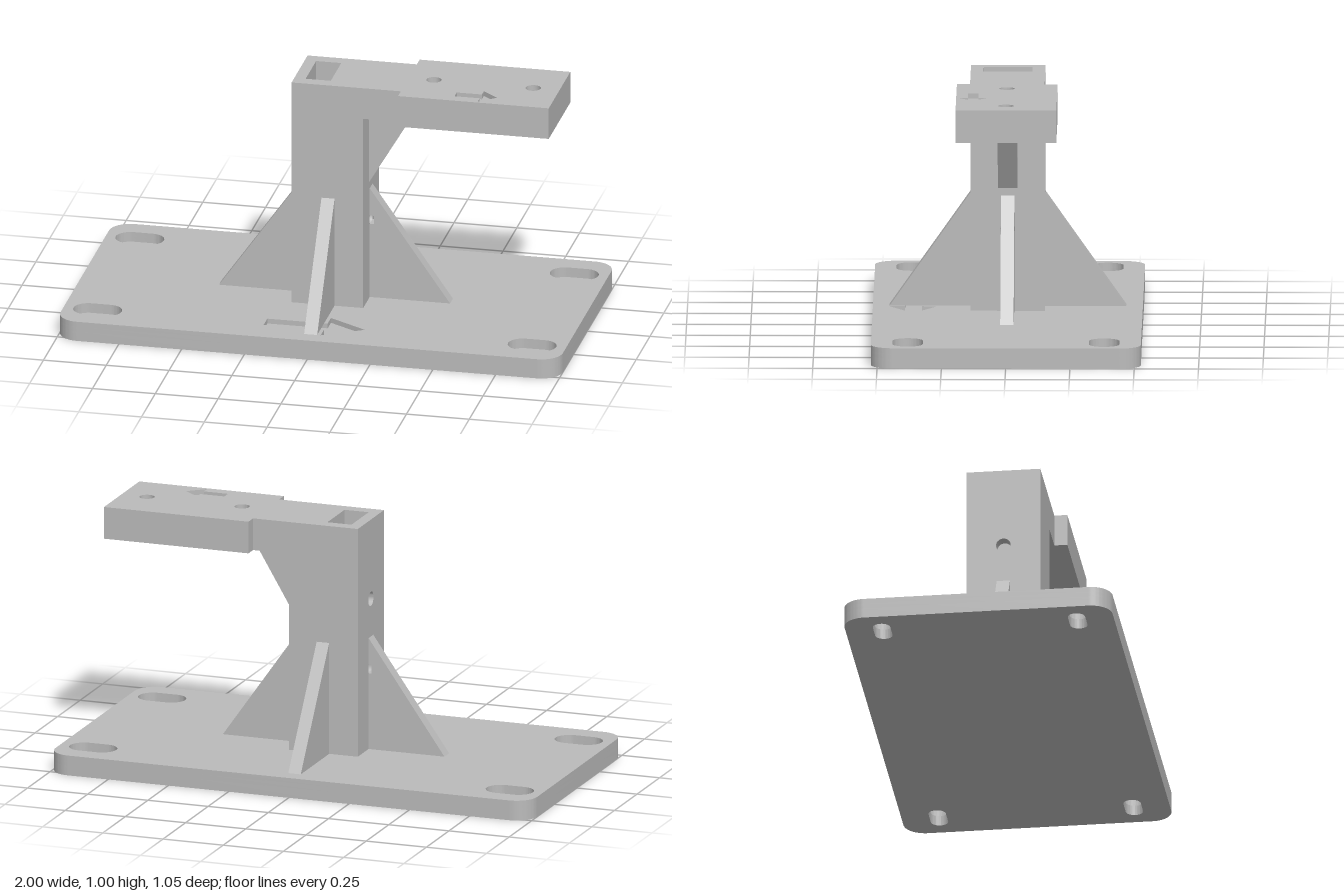
import * as THREE from 'three';
import { toCreasedNormals } from 'three/addons/utils/BufferGeometryUtils.js';

export function createModel() {
  const model = new THREE.Group();
  model.name = 'mountingBracket';
  const grey = new THREE.MeshStandardMaterial({ color: 0xbababa });
  grey.name = 'grey plastic';

  const add = (name, geometry, parent = model) => {
    const mesh = new THREE.Mesh(geometry, grey);
    mesh.name = name;
    parent.add(mesh);
    return mesh;
  };
  const box = (name, x0, x1, y0, y1, z0, z1, parent) =>
    add(name, new THREE.BoxGeometry(x1 - x0, y1 - y0, z1 - z0)
      .translate((x0 + x1) / 2, (y0 + y1) / 2, (z0 + z1) / 2), parent);
  const extrude = (shape, depth) => toCreasedNormals(
    new THREE.ExtrudeGeometry(shape, { depth, bevelEnabled: false, curveSegments: 10 }), 0.6);
  const polygon = (points) => new THREE.Shape(points.map(([x, y]) => new THREE.Vector2(x, y)));

  // Rounded rectangle given by its centre, half sizes and corner radius
  const rounded = (cx, cy, w, h, r) => {
    const s = new THREE.Shape();
    s.absarc(cx + w - r, cy + h - r, r, 0, Math.PI / 2);
    s.absarc(cx - w + r, cy + h - r, r, Math.PI / 2, Math.PI);
    s.absarc(cx - w + r, cy - h + r, r, Math.PI, Math.PI * 1.5);
    s.absarc(cx + w - r, cy - h + r, r, Math.PI * 1.5, Math.PI * 2);
    s.closePath();
    return s;
  };
  const circle = (x, y, r) => new THREE.Path().absarc(x, y, r, 0, Math.PI * 2);
  const hexagon = (x, y, r) => polygon(Array.from({ length: 6 }, (_, i) =>
    [x + r * Math.cos(i * Math.PI / 3), y + r * Math.sin(i * Math.PI / 3)]));
  // Arrow pointing to +x: tail, neck and tip along x, half widths of shaft and head
  const arrow = (tail, neck, tip, z, shaft, head) => polygon([
    [tail, z - shaft], [neck, z - shaft], [neck, z - head], [tip, z],
    [neck, z + head], [neck, z + shaft], [tail, z + shaft]]);

  // Horizontal slab between two heights, with an outline in x and z
  const slab = (name, outline, holes, y0, y1, parent) => {
    outline.holes.push(...holes);
    return add(name, extrude(outline, y1 - y0).rotateX(Math.PI / 2).translate(0, y1, 0), parent);
  };

  // Base plate: through slots, wider counterbores above, and a sunk arrow
  const base = new THREE.Group();
  base.name = 'basePlate';
  model.add(base);
  const plate = () => rounded(0, 0, 1, 0.525, 0.085);
  const slots = (w, h) => [-1, 1].flatMap((sx) =>
    [-1, 1].map((sz) => rounded(sx * 0.865, sz * 0.382, w, h, h - 0.0005)));
  slab('baseBottom', plate(), slots(0.07, 0.034), 0, 0.04, base);
  slab('baseMiddle', plate(), slots(0.096, 0.059), 0.04, 0.06, base);
  slab('baseTop', plate(),
    [...slots(0.096, 0.059), arrow(-0.2, 0.04, 0.195, 0.367, 0.033, 0.093)], 0.06, 0.08, base);

  // Hollow column: four walls around a shaft, with cross holes
  const column = new THREE.Group();
  column.name = 'column';
  model.add(column);
  box('columnFrontWall', -0.145, 0.14, 0.08, 1, 0.095, 0.145, column);
  box('columnBackWall', -0.145, 0.14, 0.08, 1, -0.145, -0.095, column);
  box('columnFloor', -0.1, 0, 0.08, 0.3, -0.095, 0.095, column);
  const sideWall = (name, x0, x1, holeHeights) => {
    const s = polygon([[-0.095, 0.08], [0.095, 0.08], [0.095, 1], [-0.095, 1]]);
    s.holes.push(...holeHeights.map((y) => circle(0, y, 0.029)));
    add(name, extrude(s, x1 - x0).rotateY(Math.PI / 2).translate(x0, 0, 0), column);
  };
  sideWall('columnRightWall', -0.145, -0.1, [0.403, 0.68]);
  sideWall('columnLeftWall', 0, 0.14, [0.403]);

  // Arm: neck and wide end, with nut pockets below, bolt holes and a sunk arrow
  const arm = new THREE.Group();
  arm.name = 'arm';
  model.add(arm);
  const armOutline = () => polygon([
    [0.14, -0.145], [0.29, -0.145], [0.29, -0.196], [0.89, -0.196],
    [0.89, 0.196], [0.29, 0.196], [0.29, 0.145], [0.14, 0.145]]);
  const boltX = [0.39, 0.785];
  const bolts = () => boltX.map((x) => circle(x, 0, 0.03));
  slab('armBottom', armOutline(), boltX.map((x) => hexagon(x, 0, 0.054)), 0.872, 0.92, arm);
  slab('armMiddle', armOutline(), bolts(), 0.92, 0.98, arm);
  slab('armTop', armOutline(),
    [...bolts(), arrow(0.505, 0.605, 0.67, 0.13, 0.02, 0.056)], 0.98, 1, arm);

  // Foot gussets on all four sides; those along x are notched at the cross hole
  ['left', 'back', 'right', 'front'].forEach((side, i) => {
    const notch = i % 2 ? [] : [[0.14, 0.421], [0.157, 0.421], [0.157, 0.386], [0.14, 0.386]];
    const s = polygon([[0.14, 0.08], [0.46, 0.08], [0.14, 0.535], ...notch]);
    add(side + 'Gusset', extrude(s, 0.052).translate(0, 0, -0.026).rotateY(i * Math.PI / 2));
  });

  // Brace under the arm
  add('armBrace', extrude(polygon([[0.14, 0.565], [0.322, 0.872], [0.14, 0.872]]), 0.076)
    .translate(0, 0, -0.038));

  return model;
}
